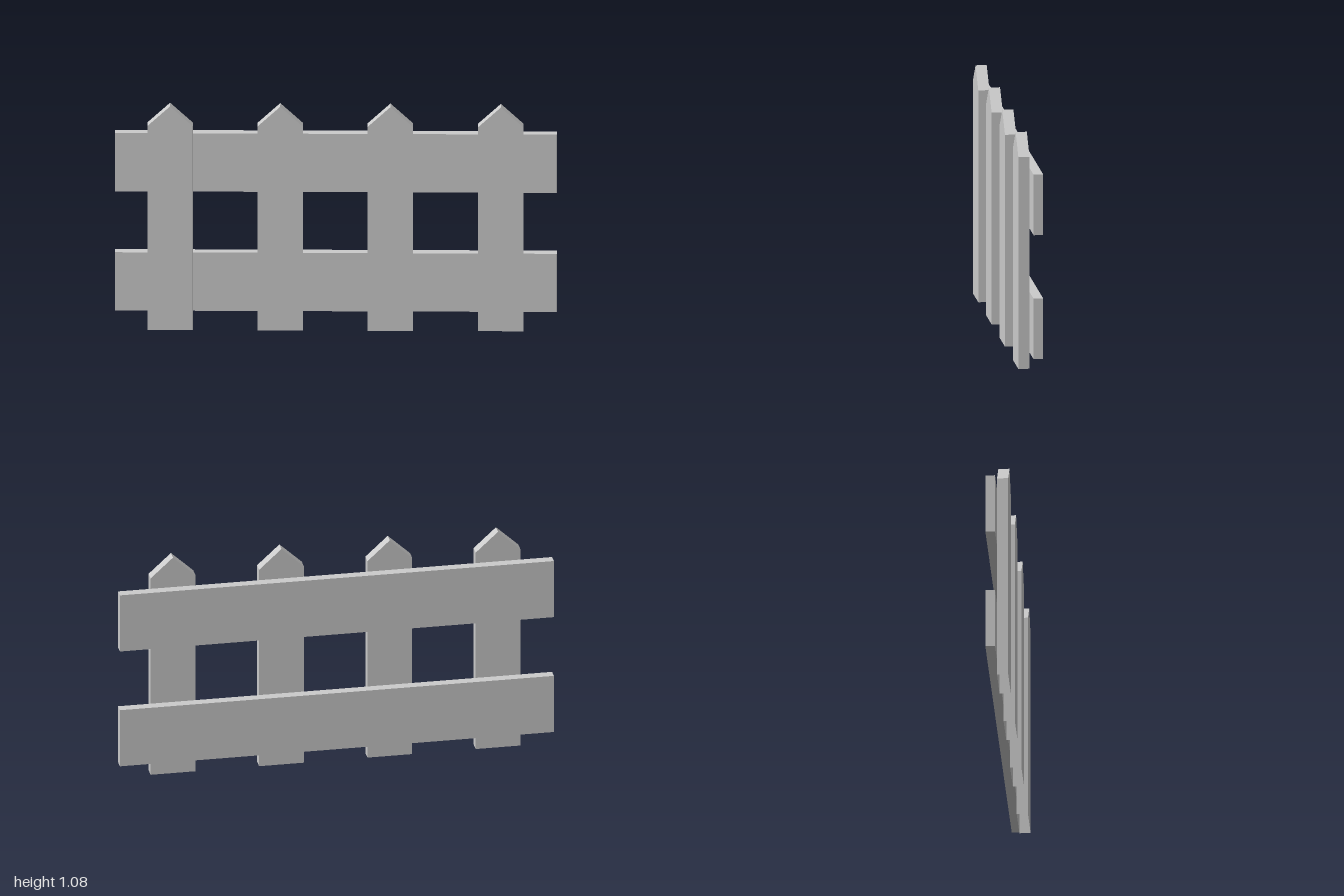
import * as THREE from 'three';

const WIDTH = 0.206, SHOULDER = 0.98, PEAK = 1.075;
const BACK = -0.047, MIDDLE = -0.003, FRONT = 0.048;

// Pointed board, extruded towards the front, hollow at its foot
function picketGeometry() {
  const h = WIDTH / 2;
  const outline = new THREE.Shape([
    new THREE.Vector2(-h, 0),
    new THREE.Vector2(h, 0),
    new THREE.Vector2(h, SHOULDER),
    new THREE.Vector2(0, PEAK),
    new THREE.Vector2(-h, SHOULDER),
  ]);
  const solid = new THREE.ExtrudeGeometry(outline, { depth: FRONT - MIDDLE, bevelEnabled: false });
  // Leave out the triangles lying on the ground
  const p = solid.attributes.position;
  const kept = [];
  for (let i = 0; i < p.count; i += 3) {
    const onGround = [0, 1, 2].every((k) => Math.abs(p.getY(i + k)) < 1e-6);
    if (!onGround) kept.push(i, i + 1, i + 2);
  }
  solid.setIndex(kept);
  solid.clearGroups();
  return solid;
}

export function createModel() {
  const fence = new THREE.Group();
  fence.name = 'picketFence';
  const wood = new THREE.MeshStandardMaterial({ color: 0xcccccc, flatShading: true, side: THREE.DoubleSide });

  // Four upright pickets in front of the rails
  const board = picketGeometry();
  [-0.751, -0.252, 0.247, 0.747].forEach((x, i) => {
    const picket = new THREE.Mesh(board, wood);
    picket.name = `picket${i + 1}`;
    picket.position.set(x, 0, MIDDLE);
    fence.add(picket);
  });

  // Two horizontal rails behind
  const railGeometry = new THREE.BoxGeometry(2, 0.28, MIDDLE - BACK);
  for (const [name, y] of [['lowerRail', 0.215], ['upperRail', 0.788]]) {
    const rail = new THREE.Mesh(railGeometry, wood);
    rail.name = name;
    rail.position.set(0, y, (BACK + MIDDLE) / 2);
    fence.add(rail);
  }
  return fence;
}
